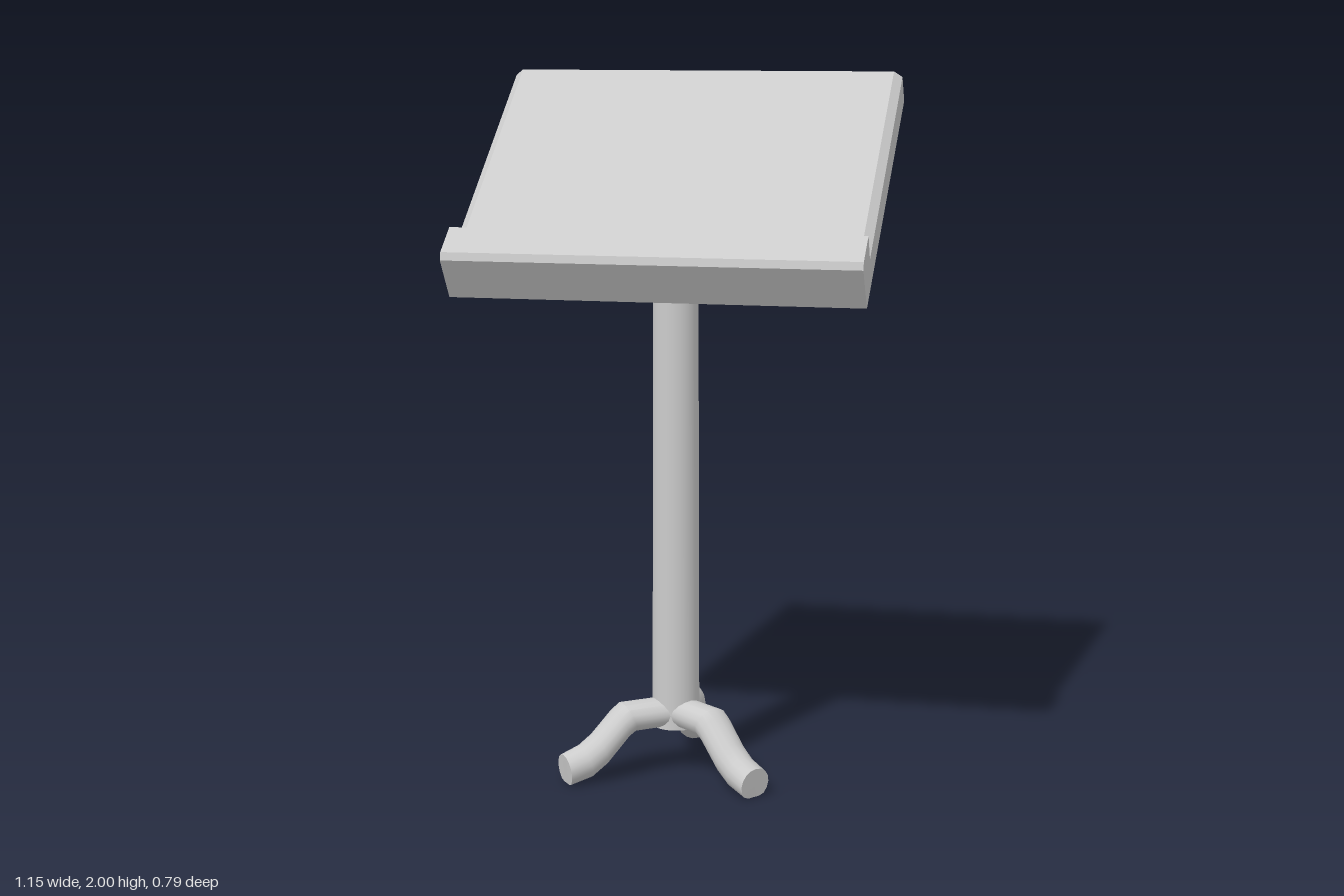
import * as THREE from 'three';
import { toCreasedNormals } from 'three/addons/utils/BufferGeometryUtils.js';

const grey = () => new THREE.MeshStandardMaterial({ color: 0xcccccc });
const CX = -0.013, CZ = -0.003; // axis of the post

function mesh(name, geometry) {
  const m = new THREE.Mesh(geometry, grey());
  m.name = name;
  return m;
}

// Sloped board with a ledge: side profile (z, y) extruded along x,
// with the reading surface chamfered down at both ends.
function boardGeometry() {
  const profile = [
    [0.32, 1.402], [-0.395, 1.915], [-0.335, 2.0], [0.287, 1.542],
    [0.31, 1.592], [0.391, 1.532], [0.396, 1.51],
  ];
  const surface = [profile[2], profile[3]];
  const shape = new THREE.Shape(profile.map(([z, y]) => new THREE.Vector2(z, y)));
  const g = new THREE.ExtrudeGeometry(shape, { depth: 3, steps: 3, bevelEnabled: false });
  const stations = [-0.573, -0.55, 0.55, 0.573];
  const p = g.attributes.position;
  for (let i = 0; i < p.count; i++) {
    const step = Math.round(p.getZ(i));
    const x = p.getX(i), y = p.getY(i);
    const onSurface = surface.some(([a, b]) => Math.hypot(x - a, y - b) < 1e-4);
    if (onSurface && (step === 0 || step === 3)) p.setXY(i, x - 0.011, y - 0.016);
    p.setZ(i, stations[step]);
  }
  g.rotateY(-Math.PI / 2);
  g.computeVertexNormals();
  return g;
}

// Bent leg pointing along +z: each station gives the top and bottom
// of an oval section as [topR, topY, bottomR, bottomY, halfWidth].
function legGeometry(stretch) {
  const stations = [
    [0, 0.215, 0, 0.13, 0.052],
    [0.145, 0.215, 0.115, 0.13, 0.055],
    [0.165, 0.198, 0.135, 0.115, 0.055],
    [0.222, 0.132, 0.19, 0.045, 0.052],
    [0.255, 0.105, 0.23, 0.012, 0.05],
    [0.3, 0.085, 0.292, -0.008, 0.05],
  ];
  const N = 16, pos = [], idx = [];
  for (const [tr, ty, br, by, w] of stations) {
    for (let k = 0; k < N; k++) {
      const a = (k / N) * Math.PI * 2, t = (1 + Math.cos(a)) / 2;
      const y = Math.max(0, by + (ty - by) * t);
      pos.push(w * Math.sin(a), y, (br + (tr - br) * t) * stretch);
    }
  }
  const last = stations.length - 1;
  for (let i = 0; i < last; i++) {
    for (let k = 0; k < N; k++) {
      const a = i * N + k, b = i * N + (k + 1) % N;
      idx.push(a, a + N, b, b, a + N, b + N);
    }
  }
  // foot end
  pos.push(0, 0.04, 0.296 * stretch);
  for (let k = 0; k < N; k++) {
    idx.push(pos.length / 3 - 1, last * N + (k + 1) % N, last * N + k);
  }
  const g = new THREE.BufferGeometry();
  g.setAttribute('position', new THREE.Float32BufferAttribute(pos, 3));
  g.setIndex(idx);
  return toCreasedNormals(g, 0.6);
}

export function createModel() {
  const group = new THREE.Group();

  group.add(mesh('board', boardGeometry()));

  // post runs up into the underside of the board
  const post = mesh('post', new THREE.CylinderGeometry(0.063, 0.068, 1.55, 32));
  post.position.set(CX, 0.13 + 0.775, CZ);
  group.add(post);

  // three legs: one to the back, a longer pair to the front
  const front = Math.atan2(0.278, 0.217);
  const legs = [
    ['backLeg', Math.PI, 1],
    ['frontLeftLeg', front, 1.18],
    ['frontRightLeg', -front, 1.18],
  ];
  for (const [name, angle, stretch] of legs) {
    const leg = mesh(name, legGeometry(stretch));
    leg.position.set(CX, 0, CZ);
    leg.rotation.y = angle;
    group.add(leg);
  }
  return group;
}
